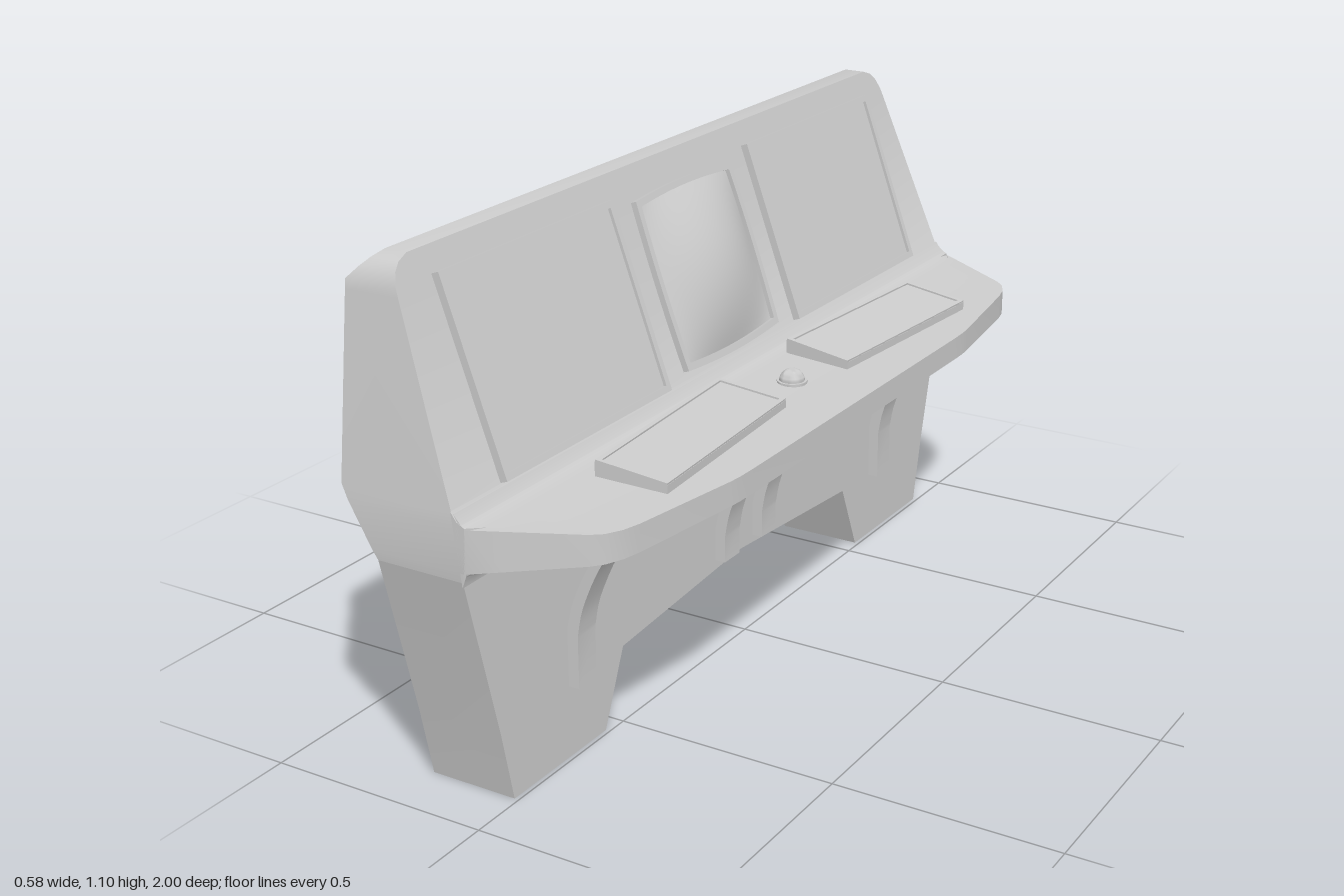
import * as THREE from 'three';
import { toCreasedNormals } from 'three/addons/utils/BufferGeometryUtils.js';

const material = new THREE.MeshStandardMaterial({ color: 0xcccccc });

function part(name, geometry, crease = 0.6) {
  const mesh = new THREE.Mesh(toCreasedNormals(geometry, crease), material);
  mesh.name = name;
  return mesh;
}

// Skin over closed rings of equal length, capped at both ends.
// Rings run counter-clockwise seen from the far end.
function loft(rings) {
  const n = rings[0].length;
  const index = [];
  for (let i = 0; i < rings.length - 1; i++) {
    for (let j = 0; j < n; j++) {
      const a = i * n + j, b = i * n + (j + 1) % n;
      index.push(a, b, b + n, a, b + n, a + n);
    }
  }
  const last = (rings.length - 1) * n;
  for (let j = 1; j < n - 1; j++) {
    index.push(0, j + 1, j, last, last + j, last + j + 1);
  }
  const g = new THREE.BufferGeometry();
  g.setAttribute('position', new THREE.Float32BufferAttribute(rings.flat(2), 3));
  g.setIndex(index);
  return g.toNonIndexed();
}

const shapeOf = (pts) => new THREE.Shape(pts.map(([x, y]) => new THREE.Vector2(x, y)));
const extrude = (shape, depth) =>
  new THREE.ExtrudeGeometry(shape, { depth, bevelEnabled: false, curveSegments: 12 });

// Rectangle whose edges bow outwards by the given amounts
function bowedPath(hw, hh, bowX = 0, bowY = 0, Type = THREE.Shape) {
  const p = new Type();
  p.moveTo(-hw, -hh);
  p.quadraticCurveTo(0, -hh - 2 * bowY, hw, -hh);
  p.quadraticCurveTo(hw + 2 * bowX, 0, hw, hh);
  p.quadraticCurveTo(0, hh + 2 * bowY, -hw, hh);
  p.quadraticCurveTo(-hw - 2 * bowX, 0, -hw, -hh);
  return p;
}

function frameGeometry(hw, hh, rim, depth, bowX, bowY) {
  const shape = bowedPath(hw, hh, bowX, bowY);
  shape.holes.push(bowedPath(hw - rim, hh - rim, bowX, bowY, THREE.Path));
  return extrude(shape, depth);
}

// Sloped front face of the upper body
const slopeX = (y) => -0.03 - 0.16 * (y - 0.655) / 0.445;

// Group lying on the slope, its local z pointing out of the slope
function slopeGroup(name, y, z) {
  const g = new THREE.Group();
  g.name = name;
  const up = new THREE.Vector3(-0.16, 0.445, 0).normalize();
  const out = new THREE.Vector3(up.y, -up.x, 0);
  const side = new THREE.Vector3().crossVectors(up, out);
  g.quaternion.setFromRotationMatrix(new THREE.Matrix4().makeBasis(side, up, out));
  g.position.set(slopeX(y), y, z);
  return g;
}

function sideMonitor(s) {
  const g = slopeGroup(s > 0 ? 'leftMonitor' : 'rightMonitor', 0.855, 0.557 * s);
  g.add(part('monitorFrame', frameGeometry(0.287, 0.207, 0.014, 0.017)));
  const screen = part('monitorScreen', new THREE.BoxGeometry(0.55, 0.39, 0.01));
  screen.position.z = 0.005;
  g.add(screen);
  return g;
}

function centreMonitor() {
  const g = slopeGroup('centreMonitor', 0.852, 0);
  const hw = 0.19, hh = 0.187, rim = 0.014;
  g.add(part('centreFrame', frameGeometry(hw, hh, rim, 0.014, 0.005, 0.009)));
  // Bulging screen
  const dome = new THREE.PlaneGeometry(2, 2, 16, 16);
  const p = dome.attributes.position;
  for (let i = 0; i < p.count; i++) {
    const u = p.getX(i), v = p.getY(i);
    p.setXYZ(i,
      u * (hw - rim + 0.005 * (1 - v * v)),
      v * (hh - rim + 0.009 * (1 - u * u)),
      0.004 + 0.047 * (1 - u * u) * (1 - v * v));
  }
  g.add(part('centreScreen', dome, 1.2));
  return g;
}

// Wedge keyboard, angled towards the middle
function keyboard(s) {
  const g = new THREE.Group();
  g.name = s > 0 ? 'leftKeyboard' : 'rightKeyboard';
  const body = extrude(shapeOf([[-0.08, -0.01], [0.08, -0.01], [0.08, 0.012], [-0.08, 0.032]]), 0.515);
  body.translate(0, 0, -0.2575);
  g.add(part('keyboardBase', body));
  const rim = frameGeometry(0.08, 0.2575, 0.01, 0.004);
  rim.rotateX(-Math.PI / 2);
  const edge = part('keyboardRim', rim);
  edge.position.y = 0.022;
  edge.rotation.z = -Math.atan2(0.02, 0.16);
  g.add(edge);
  g.position.set(0.118, 0.626, 0.398 * s);
  g.rotation.y = 0.068 * s;
  return g;
}

// Curved support under the desk
function bracket(z, foot) {
  const outer = [[0.015, 0.275], [0.03, 0.345], [0.075, 0.445], [0.13, 0.515], [0.187, 0.562]];
  const inner = [[0.16, 0.562], [0.105, 0.515], [0.05, 0.445], [0.007, 0.355], [-0.012, 0.28]];
  const curve = (pts) => new THREE.SplineCurve(pts.map(([x, y]) => new THREE.Vector2(x, y))).getPoints(16);
  const shape = new THREE.Shape([
    new THREE.Vector2(-0.012, foot), new THREE.Vector2(0.015, foot), ...curve(outer), ...curve(inner),
  ]);
  const geo = extrude(shape, 0.062);
  geo.translate(0, 0, z - 0.031);
  return part('deskBracket', geo);
}

export function createModel() {
  const model = new THREE.Group();
  model.name = 'controlConsole';

  // Lower body with the cut-out between the feet
  const half = [[0.55, 0], [0.87, 0], [0.905, 0.16], [0.998, 0.52]];
  const base = extrude(shapeOf([
    [0, 0.2], [0.48, 0.165], ...half,
    ...half.map(([x, y]) => [-x, y]).reverse(), [-0.48, 0.165],
  ]), 0.2);
  base.rotateY(-Math.PI / 2);
  base.translate(-0.01, 0, 0);
  model.add(part('lowerBody', base, 0.4));

  // Upper body: height, back x, front x, half width
  const rows = [
    [0.52, -0.21, -0.01, 0.998], [0.54, -0.2214, 0, 1], [0.63, -0.273, 0, 1],
    [0.66, -0.29, slopeX(0.66), 0.996],
    ...[[1.03, 0.95], [1.05, 0.947], [1.075, 0.935], [1.09, 0.918], [1.1, 0.89]].map(
      ([y, w]) => [y, -0.29 + Math.max(0, y - 1.05), slopeX(y), w]),
  ];
  model.add(part('upperBody', loft(rows.map(([y, b, f, w]) =>
    [[b, y, w], [f, y, w], [f, y, -w], [b, y, -w]])), 0.5));

  // Desk: outline depth by half width, with fillets against the body
  const outline = [[1, 0], [0.965, 0.06], [0.885, 0.195], [0.865, 0.217], [0.83, 0.235],
    [0.79, 0.245], [0.53, 0.283], [0.5, 0.286], [0.45, 0.287]];
  const stations = [...outline.map(([z, x]) => [-z, x]), ...[...outline].reverse()];
  const deskRing = ([z, m]) => [
    [-0.01, 0.51], [-0.007, 0.524], [0.003, 0.537], [0.022, 0.543],
    [m, 0.541 + 0.084 * m], [m, 0.63 - 0.045 * m],
    [0.025, 0.628], [0, 0.633], [-0.017, 0.642], [-0.03, 0.66],
  ].map(([x, y]) => [Math.min(x, m), y, z]);
  model.add(part('desk', loft(stations.map(deskRing)), 0.6));

  // Monitors, keyboards and brackets
  model.add(centreMonitor());
  for (const s of [1, -1]) {
    model.add(sideMonitor(s), keyboard(s), bracket(0.08 * s, 0.215), bracket(0.645 * s, 0.16));
  }

  // Trackball in its ring
  const ball = part('trackball', new THREE.SphereGeometry(0.028, 24, 16), 1);
  ball.position.set(0.118, 0.627, 0);
  const ring = part('trackballRing', new THREE.CylinderGeometry(0.033, 0.033, 0.01, 24));
  ring.position.set(0.118, 0.624, 0);
  model.add(ball, ring);

  return model;
}
